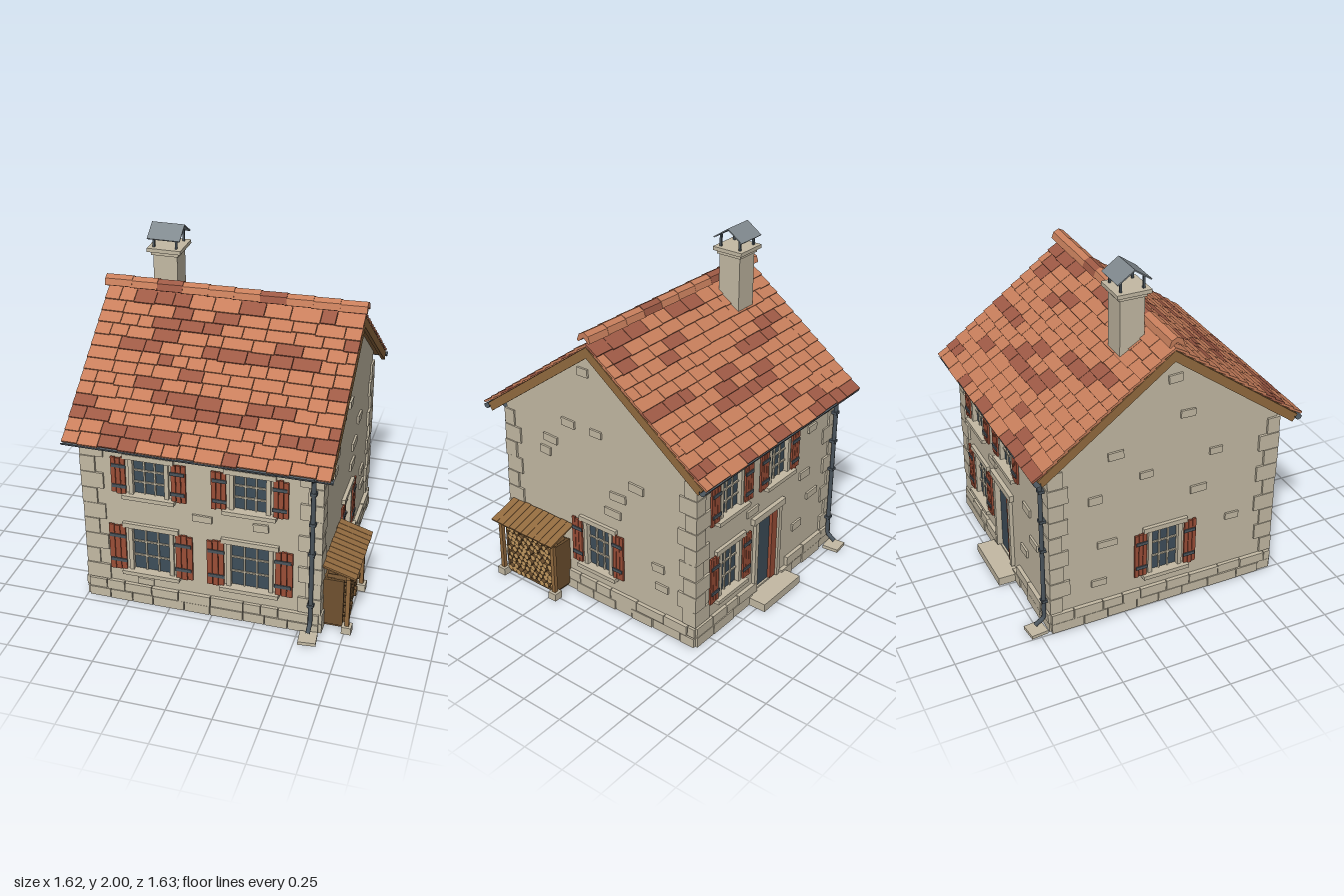
import * as THREE from 'three';

const mat = (name, color, side = THREE.FrontSide) => {
  const m = new THREE.MeshStandardMaterial({ color, side });
  m.name = name;
  return m;
};

export function createModel() {
  const M = {
    stone: mat('stone', 0xc4baa4), tile: mat('roof tile', 0xc87f5c), darkTile: mat('dark roof tile', 0x9e5a45),
    shutter: mat('shutter red', 0x9b4e37), glass: mat('glass', 0x3e4e5a), wood: mat('wood', 0x936b3f),
    darkWood: mat('dark wood', 0x6f5130), logEnd: mat('log end', 0xc49a60),
    metal: mat('chimney metal', 0x80898e), iron: mat('dark iron', 0x4b555d),
  };
  let seed = 7;
  const rnd = (a = 0, b = 1) => {
    seed = (seed * 16807) % 2147483647;
    return a + (b - a) * (seed / 2147483647);
  };
  const root = new THREE.Group();
  root.name = 'stoneHouse';
  const group = (name, parent = root, x = 0, y = 0, z = 0) => {
    const g = new THREE.Group();
    g.name = name;
    g.position.set(x, y, z);
    parent.add(g);
    return g;
  };
  const add = (parent, name, geo, m, x = 0, y = 0, z = 0) => {
    const o = new THREE.Mesh(geo, m);
    o.name = name;
    o.position.set(x, y, z);
    parent.add(o);
    return o;
  };
  const box = (p, name, m, w, h, d, x, y, z) => add(p, name, new THREE.BoxGeometry(w, h, d), m, x, y, z);

  const CX = -0.06, HX = 0.67, HZ = 0.68; // house centre and half sizes
  const EAVE = 1.1, APEX = 1.61;

  // Window with stone surround, glazing bars and open shutters (outer wall face at local z = 0)
  const makeWindow = (p, { x, y, w, h, out, sw }) => {
    const g = group('window', p, x, y, 0);
    box(g, 'glass', M.glass, w, h, 0.01, 0, 0, -0.018);
    for (const k of [-1, 1]) {
      box(g, 'windowBarVertical', M.stone, 0.009, h, 0.012, k * w / 6, 0, -0.01);
      box(g, 'windowBarHorizontal', M.stone, w, 0.009, 0.012, 0, k * h / 6, -0.01);
      box(g, 'jamb', M.stone, 0.024, h, 0.045, k * (w / 2 + 0.012), 0, -0.008);
      const s = group('shutter', g, k * (out - sw / 2), 0, 0.014);
      for (let i = 0; i < 3; i++)
        box(s, 'shutterPlank', M.shutter, sw / 3 - 0.003, h + rnd(0.0, 0.018), 0.012, (i - 1) * sw / 3, rnd(-0.004, 0.004), 0);
      for (const j of [-1, 1]) box(s, 'shutterHinge', M.iron, sw * 0.95, 0.02, 0.006, -k * 0.006, j * h * 0.29, 0.009);
    }
    box(g, 'lintel', M.stone, w + 0.11, 0.03, 0.05, 0, h / 2 + 0.016, -0.004);
    box(g, 'sill', M.stone, w + 0.12, 0.024, 0.07, 0, -h / 2 - 0.012, 0.006);
  };

  // Wall panel with openings, accent stones and windows
  const makeWall = (name, half, gable, pos, rot, openings, stones, door) => {
    const g = group(name, root, ...pos);
    g.rotation.y = rot;
    const pts = [[-half, 0], [half, 0], [half, EAVE]];
    if (gable) pts.push([0, APEX]);
    pts.push([-half, EAVE]);
    const shape = new THREE.Shape(pts.map(q => new THREE.Vector2(...q)));
    const cut = (x, y, w, h) => shape.holes.push(new THREE.Path([[-1, -1], [-1, 1], [1, 1], [1, -1]]
      .map(([a, b]) => new THREE.Vector2(x + a * w / 2, y + b * h / 2))));
    openings.forEach(o => { cut(o.x, o.y, o.w, o.h); makeWindow(g, o); });
    if (door) cut(door.x, door.y, door.w, door.h);
    add(g, 'wall', new THREE.ExtrudeGeometry(shape, { depth: 0.03, bevelEnabled: false }), M.stone, 0, 0, -0.03);
    for (const [x, y] of stones) {
      const s = box(g, 'wallStone', M.stone, rnd(0.07, 0.115), rnd(0.04, 0.05), 0.04, x, y, -0.008);
      s.rotation.z = rnd(-0.05, 0.05);
    }
    // plinth stones in two courses, leaving the doorway free
    for (let row = 0; row < 2; row++) {
      for (let x = -half - 0.01; x < half - 0.02;) {
        const w = Math.min(rnd(0.1, 0.2), half + 0.01 - x), c = x + w / 2;
        if (!door || Math.abs(c - door.x) > door.w / 2 + w / 2)
          box(g, 'plinthStone', M.stone, w - 0.005, rnd(0.054, 0.062), rnd(0.055, 0.07), c, 0.032 + row * 0.062, -0.01);
        x += w;
      }
    }
    return g;
  };
  const upper = x => ({ x, y: 0.84, w: 0.18, h: 0.22, out: 0.215, sw: 0.085 });
  const lower = x => ({ x, y: 0.365, w: 0.215, h: 0.28, out: 0.245, sw: 0.1 });
  const narrow = (x, y, h) => ({ x, y, w: 0.16, h, out: 0.19, sw: 0.075 });

  makeWall('frontWall', HX - 0.005, false, [CX, 0, HZ], 0,
    [upper(-0.29), upper(0.28), lower(-0.29), lower(0.28)], [[0.01, 0.635], [0.34, 0.635], [-0.33, 0.15]]);
  makeWall('leftSideWall', HZ, true, [CX + HX, 0, 0], Math.PI / 2, [narrow(0, 0.36, 0.28)],
    [[-0.2, 1.095], [0, 1.095], [-0.08, 1.44], [-0.34, 0.95], [-0.38, 0.865], [0.28, 0.855], [0.15, 0.75],
      [0.11, 0.635], [0.43, 0.41], [0.455, 0.29]]);
  makeWall('rightSideWall', HZ, true, [CX - HX, 0, 0], -Math.PI / 2, [narrow(0, 0.36, 0.28)],
    [[-0.3, 1.05], [0.12, 1.2], [0.04, 1.43], [-0.42, 0.8], [-0.12, 0.88], [0.3, 0.92], [0.2, 0.7], [-0.35, 0.5],
      [0.42, 0.45], [-0.4, 0.25]]);
  const door = { x: -0.01, y: 0.295, w: 0.2, h: 0.47 };
  const back = makeWall('backWall', HX - 0.005, false, [CX, 0, -HZ], Math.PI,
    [narrow(-0.37, 0.84, 0.22), narrow(0.08, 0.84, 0.22), narrow(-0.37, 0.365, 0.28)],
    [[0.42, 0.9], [0.36, 0.62], [0.45, 0.45], [0.3, 0.3], [-0.16, 0.62]], door);

  // Back door with surround and step
  const dg = group('door', back, door.x, 0, 0);
  box(dg, 'doorPanel', M.glass, 0.15, door.h, 0.012, -0.025, door.y, -0.018);
  box(dg, 'doorLeaf', M.shutter, 0.05, door.h, 0.025, 0.075, door.y, -0.005);
  for (const k of [-1, 1]) box(dg, 'doorJamb', M.stone, 0.028, door.h, 0.05, k * 0.114, door.y, -0.004);
  box(dg, 'doorLintel', M.stone, 0.31, 0.04, 0.055, 0, 0.55, -0.002);
  box(dg, 'doorStep', M.stone, 0.36, 0.05, 0.15, 0.01, 0.025, 0.05);

  // Corner quoins, alternating long and short
  const quoins = group('quoins');
  for (const sx of [-1, 1]) for (const sz of [-1, 1]) for (let i = 0; i < 9; i++) {
    const long = i % 2 === 0, a = (long ? 0.13 : 0.08) + rnd(-0.01, 0.01), b = (long ? 0.08 : 0.12) + rnd(-0.01, 0.01);
    const e = rnd(0.009, 0.015);
    box(quoins, 'quoin', M.stone, a, 0.097, b, CX + sx * (HX + e - a / 2), 0.178 + i * 0.101, sz * (HZ + e - b / 2));
  }

  // Roof slopes: local z runs down the slope, local y is its normal
  const ANG = Math.atan(0.743), LEN = 0.965, X0 = -0.8, X1 = 0.675, RIDGE = 1.63, ROWS = 13;
  for (const side of [0, 1]) {
    const turn = group(side ? 'backRoof' : 'frontRoof');
    turn.rotation.y = side * Math.PI;
    const s = group('roofSlope', turn, 0, RIDGE, 0);
    s.rotation.x = ANG;
    const f = side ? -1 : 1, mid = f * (X0 + X1) / 2;
    box(s, 'roofDeck', M.wood, X1 - X0 - 0.02, 0.024, LEN - 0.01, mid, -0.012, LEN / 2 - 0.005);
    for (const x of [X0 + 0.012, X1 - 0.012]) box(s, 'bargeBoard', M.wood, 0.02, 0.05, LEN - 0.01, f * x, -0.027, LEN / 2 - 0.005);
    for (let i = 0; i < 9; i++) box(s, 'rafterTail', M.wood, 0.03, 0.035, 0.14, f * (-0.67 + i * 0.153), -0.04, LEN - 0.1);
    const step = LEN / ROWS;
    for (let r = 0; r < ROWS; r++) {
      let dark = false;
      for (let x = X0; x < X1 - 0.001;) {
        let w = rnd(0.08, 0.17);
        if (X1 - x - w < 0.05) w = X1 - x;
        dark = rnd() < (dark ? 0.45 : 0.18);
        const t = box(s, 'roofTile', dark ? M.darkTile : M.tile, w - 0.003, 0.013, step + 0.02,
          f * (x + w / 2), 0.011, (r + 0.5) * step + rnd(-0.003, 0.005));
        t.rotation.x = -0.11;
        x += w;
      }
    }
    // gutter under the eave
    const gutter = new THREE.CylinderGeometry(0.02, 0.02, 1.49, 10, 1, true, 0, Math.PI);
    gutter.rotateZ(-Math.PI / 2).rotateX(0);
    const gm = mat('gutter', 0x4b555d, THREE.DoubleSide);
    M.gutter = M.gutter || gm;
    add(turn, 'gutter', gutter, M.gutter, mid, 1.05, 0.768);
  }

  // Ridge tiles
  const arch = new THREE.Shape([[-0.045, 0], [-0.035, -0.006], [0, 0.022], [0.035, -0.006], [0.045, 0], [0.032, 0.036],
    [0, 0.052], [-0.032, 0.036]].map(q => new THREE.Vector2(...q)));
  const archGeo = new THREE.ExtrudeGeometry(arch, { depth: 0.16, bevelEnabled: false }).rotateY(Math.PI / 2);
  for (let i = 0; i < 10; i++) {
    const t = add(root, 'ridgeTile', archGeo, i % 4 === 2 ? M.darkTile : M.tile, -0.81 + i * 0.1485, 1.663, 0);
    t.rotation.z = 0.03;
    t.position.y -= 0.003;
  }

  // Downpipes with clamps and splash stones, at opposite corners
  for (const [x, f] of [[0.57, 1], [-0.69, -1]]) {
    const g = group('downpipe', root, x, 0, 0);
    if (f < 0) g.rotation.y = Math.PI;
    const path = new THREE.CurvePath();
    const pts = [[1.04, 0.768], [1.0, 0.712], [0.08, 0.71], [0.045, 0.765]].map(([y, z]) => new THREE.Vector3(0, y, z));
    for (let i = 0; i < 3; i++) path.add(new THREE.LineCurve3(pts[i], pts[i + 1]));
    add(g, 'pipe', new THREE.TubeGeometry(path, 40, 0.013, 8), M.iron);
    for (const y of [0.2, 0.54, 0.73, 0.92]) box(g, 'pipeClamp', M.iron, 0.036, 0.016, 0.045, 0, y, 0.703);
    box(g, 'splashStone', M.stone, 0.1, 0.02, 0.1, 0, 0.01, 0.76).rotation.y = 0.1;
  }

  // Chimney with metal cowl
  const ch = group('chimney', root, -0.48, 0, -0.122);
  box(ch, 'chimneyShaft', M.stone, 0.14, 0.5, 0.14, 0, 1.6, 0);
  box(ch, 'chimneyCollar', M.stone, 0.16, 0.022, 0.16, 0, 1.845, 0);
  box(ch, 'chimneySlab', M.stone, 0.196, 0.022, 0.196, 0, 1.867, 0);
  for (const a of [-1, 1]) {
    for (const b of [-1, 1]) box(ch, 'cowlPost', M.iron, 0.012, 0.075, 0.012, a * 0.065, 1.91, b * 0.065);
    const plate = box(ch, 'cowlPlate', M.metal, 0.19, 0.007, 0.116, 0, 1.965, a * 0.047);
    plate.rotation.x = a * 0.6;
  }

  // Lean-to firewood store
  const shed = group('firewoodStore');
  for (let i = 0; i < 10; i++) {
    const p = box(shed, 'shedRoofPlank', M.wood, 0.2 + rnd(-0.004, 0.004), 0.011, 0.045, 0.712, 0.41, 0.212 + i * 0.0475);
    p.rotation.z = -0.3;
  }
  for (const z of [0.22, 0.63]) {
    box(shed, 'shedPost', M.wood, 0.024, 0.34, 0.024, 0.762, 0.21, z);
    box(shed, 'postFoot', M.stone, 0.055, 0.045, 0.055, 0.762, 0.0225, z);
    box(shed, 'shedRafter', M.wood, 0.17, 0.02, 0.02, 0.7, 0.395, z).rotation.z = -0.3;
  }
  box(shed, 'shedBeam', M.wood, 0.024, 0.022, 0.46, 0.762, 0.376, 0.425);
  for (const z of [0.232, 0.618]) box(shed, 'crateSide', M.darkWood, 0.12, 0.3, 0.014, 0.675, 0.18, z);
  box(shed, 'crateBottom', M.darkWood, 0.13, 0.016, 0.38, 0.675, 0.022, 0.425);
  box(shed, 'crateBack', M.darkWood, 0.06, 0.3, 0.37, 0.65, 0.18, 0.425);
  for (let r = 0; r < 9; r++) for (let c = 0; c < 10 - (r % 2); c++) {
    const rad = rnd(0.016, 0.0195), len = rnd(0.1, 0.125);
    const log = new THREE.CylinderGeometry(rad, rad, len, 7).rotateZ(Math.PI / 2);
    add(shed, 'log', log, [M.darkWood, M.logEnd, M.logEnd], 0.635 + len / 2, 0.048 + r * 0.0345, 0.26 + c * 0.0366 + (r % 2) * 0.018);
  }
  return root;
}
